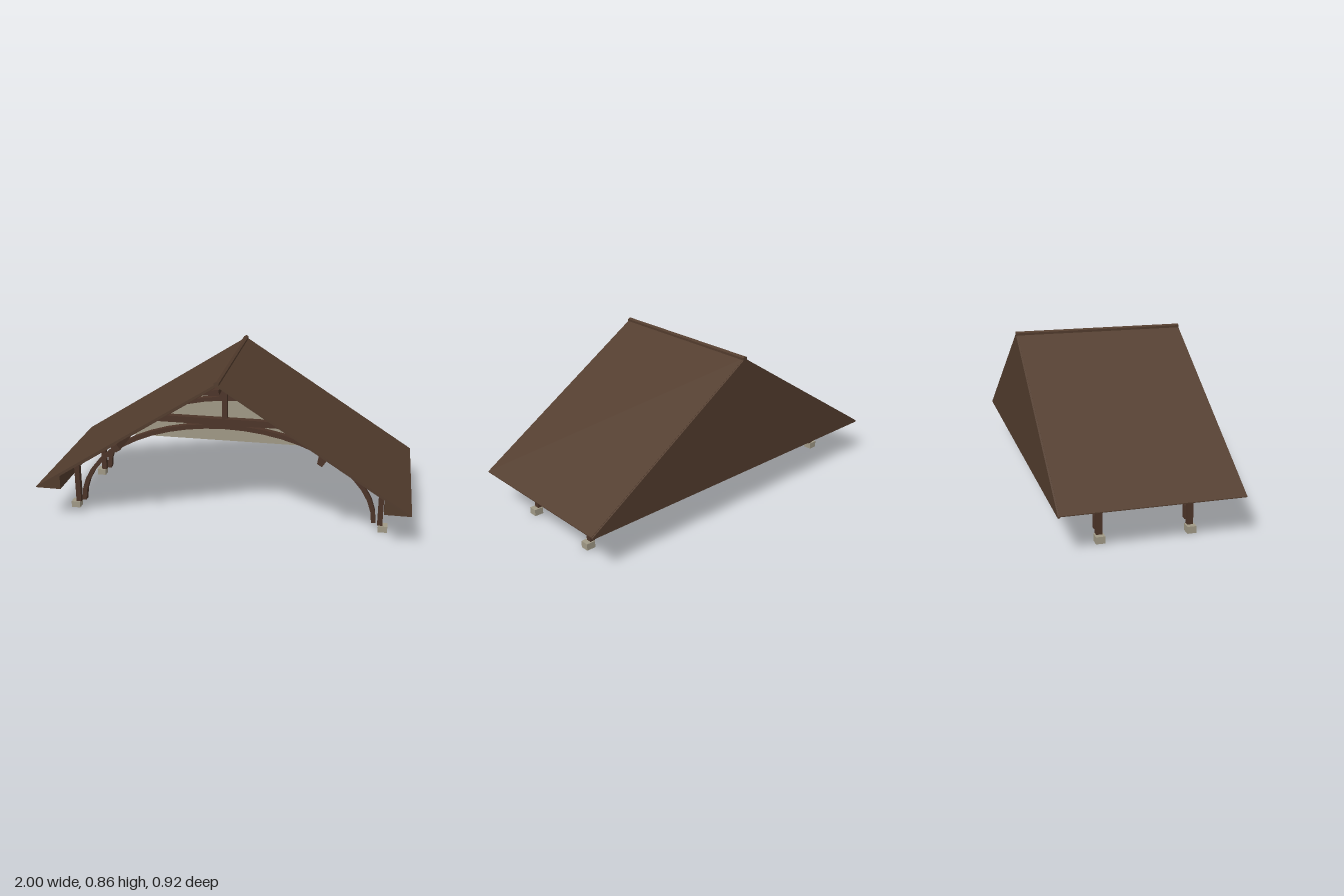
import * as THREE from 'three';

const mat = (name, color, side = THREE.FrontSide) => {
  const m = new THREE.MeshStandardMaterial({ color, side });
  m.name = name;
  return m;
};

export function createModel() {
  const group = new THREE.Group();
  const roofBrown = mat('roof brown', 0x523c2d);
  const timber = mat('dark timber', 0x4c3428);
  const stone = mat('pale grey', 0xa09986);

  // Extrude an x-y outline between two z positions
  const prism = (name, points, z0, z1, material, parent = group) => {
    const shape = new THREE.Shape(points.map(([x, y]) => new THREE.Vector2(x, y)));
    const geo = new THREE.ExtrudeGeometry(shape, { depth: z1 - z0, bevelEnabled: false });
    geo.translate(0, 0, z0);
    const mesh = new THREE.Mesh(geo, material);
    mesh.name = name;
    parent.add(mesh);
    return mesh;
  };
  const box = (name, w, h, d, x, y, z, material, parent = group) => {
    const mesh = new THREE.Mesh(new THREE.BoxGeometry(w, h, d), material);
    mesh.position.set(x, y, z);
    mesh.name = name;
    parent.add(mesh);
    return mesh;
  };
  const pitch = 0.642;

  // Roof slopes with boxed eaves
  const half = [[0, 0.853], [1, 0.213], [1, 0.209], [0.86, 0.209], [0.86, 0.286]];
  const mirrored = half.slice(1).reverse().map(([x, y]) => [-x, y]);
  prism('roof', [...half, [0, 0.839], ...mirrored], -0.452, 0.46, roofBrown);
  prism('ridgeCap', [[0, 0.864], [0.013, 0.857], [0.013, 0.843], [-0.013, 0.843], [-0.013, 0.857]],
    -0.46, 0.46, roofBrown);

  // Rear gable: timber outside, pale lining inside
  prism('gableCladding', [[-1, 0.203], [1, 0.203], [1, 0.211], [0, 0.852], [-1, 0.211]],
    -0.46, -0.451, roofBrown);
  prism('gableLining', [[-0.97, 0.205], [0.97, 0.205], [0, 0.842]], -0.451, -0.4, stone);

  // Purlins and ridge beam
  for (const s of [-1, 1]) {
    const p = box('purlin', 0.03, 0.035, 0.86, s * 0.535, 0.469, 0.03, timber);
    p.rotation.z = -s * Math.atan(pitch);
  }
  box('ridgeBeam', 0.026, 0.03, 0.86, 0, 0.808, 0.03, timber);

  // Curved arch band, an elliptical strip
  const arch = [];
  const n = 24;
  for (let i = 0; i <= n; i++) {
    const a = Math.PI * i / n;
    arch.push([0.822 * Math.cos(a), 0.05 + 0.508 * Math.sin(a)]);
  }
  for (let i = n; i >= 0; i--) {
    const a = Math.PI * i / n;
    arch.push([0.798 * Math.cos(a), 0.05 + 0.483 * Math.sin(a)]);
  }

  // Two trusses, each on a pair of posts and footings
  for (const z of [-0.23, 0.23]) {
    const truss = new THREE.Group();
    truss.name = 'truss';
    group.add(truss);
    const a = z - 0.016, b = z + 0.016;
    prism('arch', arch, a, b, timber, truss);
    prism('collarTie', [[-0.41, 0.555], [0.41, 0.555], [0.36, 0.59], [-0.36, 0.59]],
      a - 0.001, b + 0.001, timber, truss);
    box('archCentreBlock', 0.24, 0.025, 0.032, 0, 0.546, z, timber, truss);
    box('kingPost', 0.027, 0.22, 0.028, 0, 0.69, z, timber, truss);
    prism('rafters', [[0, 0.83], [0.855, 0.83 - 0.855 * pitch], [0.855, 0.79 - 0.855 * pitch], [0, 0.79],
      [-0.855, 0.79 - 0.855 * pitch], [-0.855, 0.83 - 0.855 * pitch]], a, b, timber, truss);
    for (const s of [-1, 1]) {
      box('post', 0.028, 0.235, 0.03, s * 0.845, 0.1525, z, timber, truss);
      box('footing', 0.05, 0.036, 0.046, s * 0.861, 0.018, z, stone, truss);
    }
  }
  return group;
}
